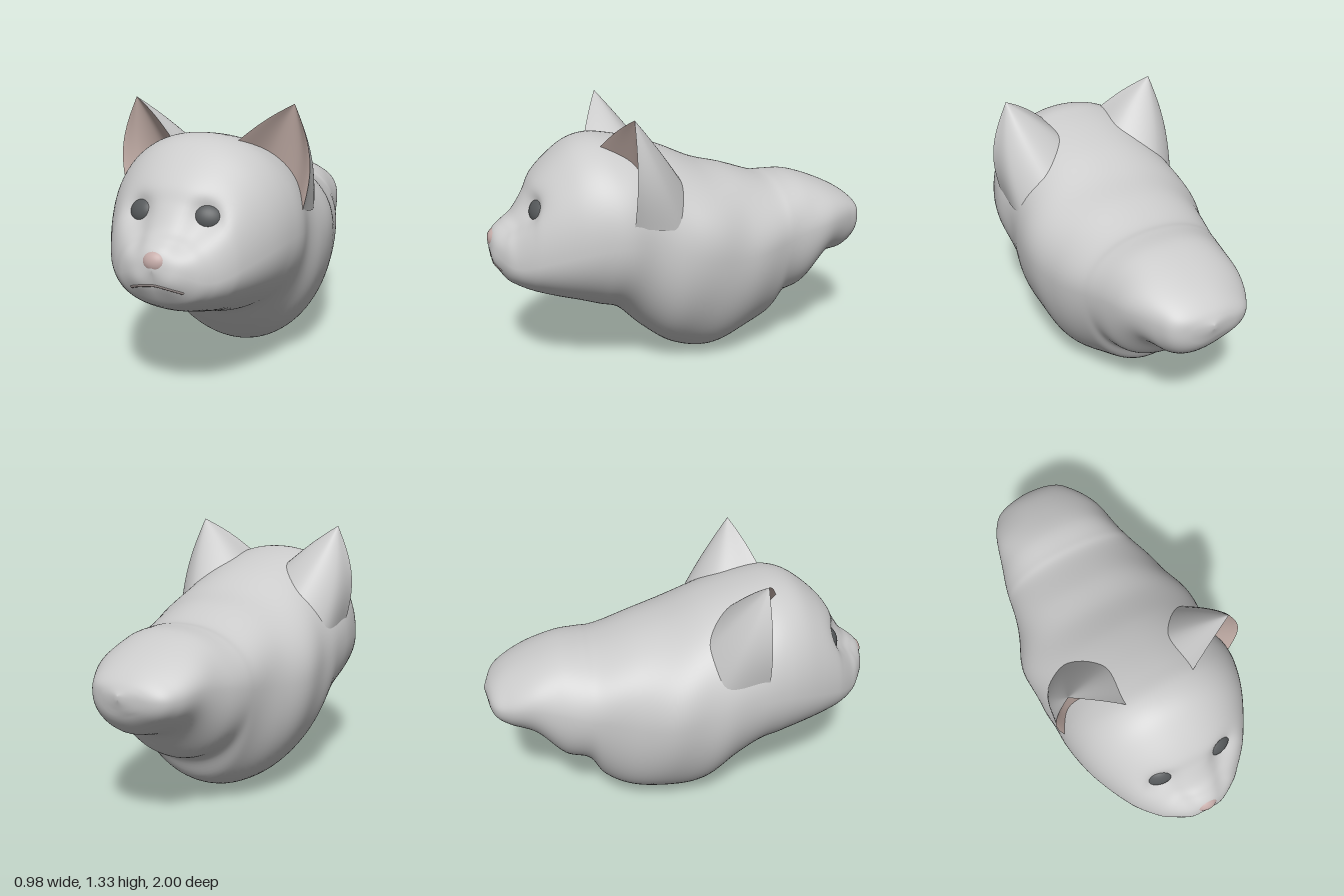
import * as THREE from 'three';
import { mergeVertices } from 'three/addons/utils/BufferGeometryUtils.js';

// Cross-sections from nose to rear: z, top, bottom, half width, height of widest point
const SECTIONS = [
  [1.0, 0.68, 0.66, 0, 0.67], [0.975, 0.74, 0.57, 0.1, 0.65], [0.93, 0.78, 0.49, 0.19, 0.61],
  [0.88, 0.82, 0.455, 0.245, 0.6], [0.82, 0.91, 0.425, 0.3, 0.62], [0.77, 0.995, 0.405, 0.335, 0.64],
  [0.68, 1.085, 0.375, 0.385, 0.67], [0.58, 1.155, 0.345, 0.43, 0.7], [0.48, 1.18, 0.31, 0.46, 0.72],
  [0.38, 1.17, 0.275, 0.475, 0.72], [0.25, 1.14, 0.15, 0.47, 0.7], [0.1, 1.09, 0.035, 0.482, 0.63],
  [-0.08, 1.01, 0.0, 0.482, 0.6], [-0.25, 0.965, 0.025, 0.435, 0.6], [-0.42, 0.91, 0.11, 0.385, 0.62],
  [-0.5, 0.905, 0.23, 0.365, 0.64], [-0.62, 0.9, 0.275, 0.335, 0.67], [-0.75, 0.86, 0.43, 0.3, 0.68],
  [-0.88, 0.8, 0.475, 0.24, 0.66], [-0.96, 0.74, 0.55, 0.17, 0.66], [-1.0, 0.68, 0.66, 0, 0.67],
];
const EYE = { x: 0.165, y: 0.86 };

// Grid surface from point(u, v), welded for smooth normals
function surface(point, nu, nv, flip = false) {
  const pos = [], idx = [];
  for (let i = 0; i <= nu; i++)
    for (let j = 0; j <= nv; j++) pos.push(...point(i / nu, j / nv));
  for (let i = 0; i < nu; i++)
    for (let j = 0; j < nv; j++) {
      const a = i * (nv + 1) + j, b = a + 1, c = a + nv + 1, d = c + 1;
      idx.push(...(flip ? [a, b, c, b, d, c] : [a, c, b, b, c, d]));
    }
  let g = new THREE.BufferGeometry();
  g.setAttribute('position', new THREE.Float32BufferAttribute(pos, 3));
  g.setIndex(idx);
  g = mergeVertices(g, 1e-5);
  g.computeVertexNormals();
  return g;
}

const bump = (dx, dy, r) => Math.exp(-(dx * dx + dy * dy) / (r * r));

// Head, neck and torso as one skin, with eye sockets and soft lumps
function bodyGeometry() {
  const spline = new THREE.CubicInterpolant(SECTIONS.map((_, i) => i), SECTIONS.flat(), 5);
  return surface((u, v) => {
    const [z, top, bottom, width, mid] = spline.evaluate(u * (SECTIONS.length - 1));
    const angle = (v === 1 ? 0 : v) * Math.PI * 2;
    const c = Math.cos(angle), s = Math.sin(angle), e = s > 0 ? 2 / 2.15 : 1;
    let x = width * Math.sign(c) * Math.abs(c) ** e;
    let y = mid + (s > 0 ? top - mid : mid - bottom) * Math.sign(s) * Math.abs(s) ** e;
    let dz = 0;
    if (z > 0.5) {
      const ax = Math.abs(x);
      dz -= 0.05 * bump(ax - EYE.x, y - EYE.y, 0.075);
      dz -= 0.02 * bump(ax - 0.11, y - 0.76, 0.05);
      dz += 0.012 * bump(ax - 0.08, y - 0.6, 0.06);
    } else {
      const lump = 0.012 * Math.sin(11 * z + 2) * Math.sin(3 * angle + 5 * z) * Math.min(1, (0.5 - z) * 3);
      x += lump * c * (width > 0.1 ? 1 : 0);
      y += s < 0 && width > 0.1 ? lump * s : 0;
    }
    return [x, y, z + dz];
  }, 150, 96);
}

// Ear patch: a base curve drawn up to the tip, its outer side bulging
function earGeometry(basePoints, side, flip) {
  const base = new THREE.CatmullRomCurve3(basePoints.map(p => new THREE.Vector3(...p)));
  const tip = new THREE.Vector3(0.41, 1.32, 0.35);
  return surface((u, v) => {
    const p = base.getPoint(v).lerp(tip, u);
    const swell = Math.sin(Math.PI * u);
    p.x += 0.055 * swell * v * v;
    p.y += 0.015 * swell * (1 - v);
    return [p.x * side, p.y, p.z];
  }, 24, 32, flip !== side < 0);
}

export function createModel() {
  const group = new THREE.Group();
  const material = (color, side = THREE.FrontSide) => new THREE.MeshStandardMaterial({ color, side });
  const grey = material(0xcccccc), furEar = material(0xcccccc, THREE.DoubleSide);
  const pinkEar = material(0xc6b1aa, THREE.DoubleSide);
  const pink = material(0xc4aba8), dark = material(0x55585a), lid = material(0x9c8b82), lip = material(0x8f8583);
  const add = (name, geometry, mat, parent = group) => {
    const mesh = new THREE.Mesh(geometry, mat);
    mesh.name = name;
    parent.add(mesh);
    return mesh;
  };

  const body = add('headAndBody', bodyGeometry(), grey);

  // Depth of the face at a given spot
  const ray = new THREE.Raycaster();
  const faceZ = (x, y) => {
    ray.set(new THREE.Vector3(x, y, 3), new THREE.Vector3(0, 0, -1));
    const hit = ray.intersectObject(body)[0];
    return hit ? hit.point.z : 0.8;
  };

  const innerFront = [0.15, 1.13, 0.47], outerFront = [0.46, 0.82, 0.37];
  const earBack = [innerFront, [0.14, 1.08, 0.22], [0.3, 0.93, 0.06], [0.44, 0.8, 0.13], outerFront];
  const earHollow = [innerFront, [0.27, 1.05, 0.32], [0.39, 0.93, 0.29], outerFront];

  for (const side of [1, -1]) {
    const label = side > 0 ? 'left' : 'right';
    // Ears
    add(label + 'EarBack', earGeometry(earBack, side, true), furEar);
    add(label + 'EarHollow', earGeometry(earHollow, side, false), pinkEar);

    // Eye with its lid, slanting down outwards and turned to the side
    const eye = new THREE.Group();
    eye.name = label + 'Eye';
    eye.position.set(side * EYE.x, EYE.y, faceZ(side * EYE.x, EYE.y) - 0.015);
    eye.rotation.set(-0.45, side * 0.4, side * -0.2, 'YXZ');
    add('eyeball', new THREE.SphereGeometry(1, 32, 20), dark, eye).scale.set(0.072, 0.06, 0.04);
    add('eyelid', new THREE.TorusGeometry(0.072, 0.011, 10, 40), lid, eye).scale.set(1.08, 0.85, 1);
    group.add(eye);
  }

  // Nose
  const nose = add('nose', new THREE.SphereGeometry(1, 32, 20), pink);
  nose.scale.set(0.065, 0.055, 0.05);
  nose.position.set(0, 0.69, 0.953);

  // Mouth line, laid on the muzzle
  const mouth = [];
  for (let i = -6; i <= 6; i++) {
    const x = i * 0.021, y = 0.59 - 0.03 * (i / 6) ** 2;
    mouth.push(new THREE.Vector3(x, y, faceZ(x, y) - 0.003));
  }
  add('mouth', new THREE.TubeGeometry(new THREE.CatmullRomCurve3(mouth), 40, 0.007, 8), lip);
  return group;
}
